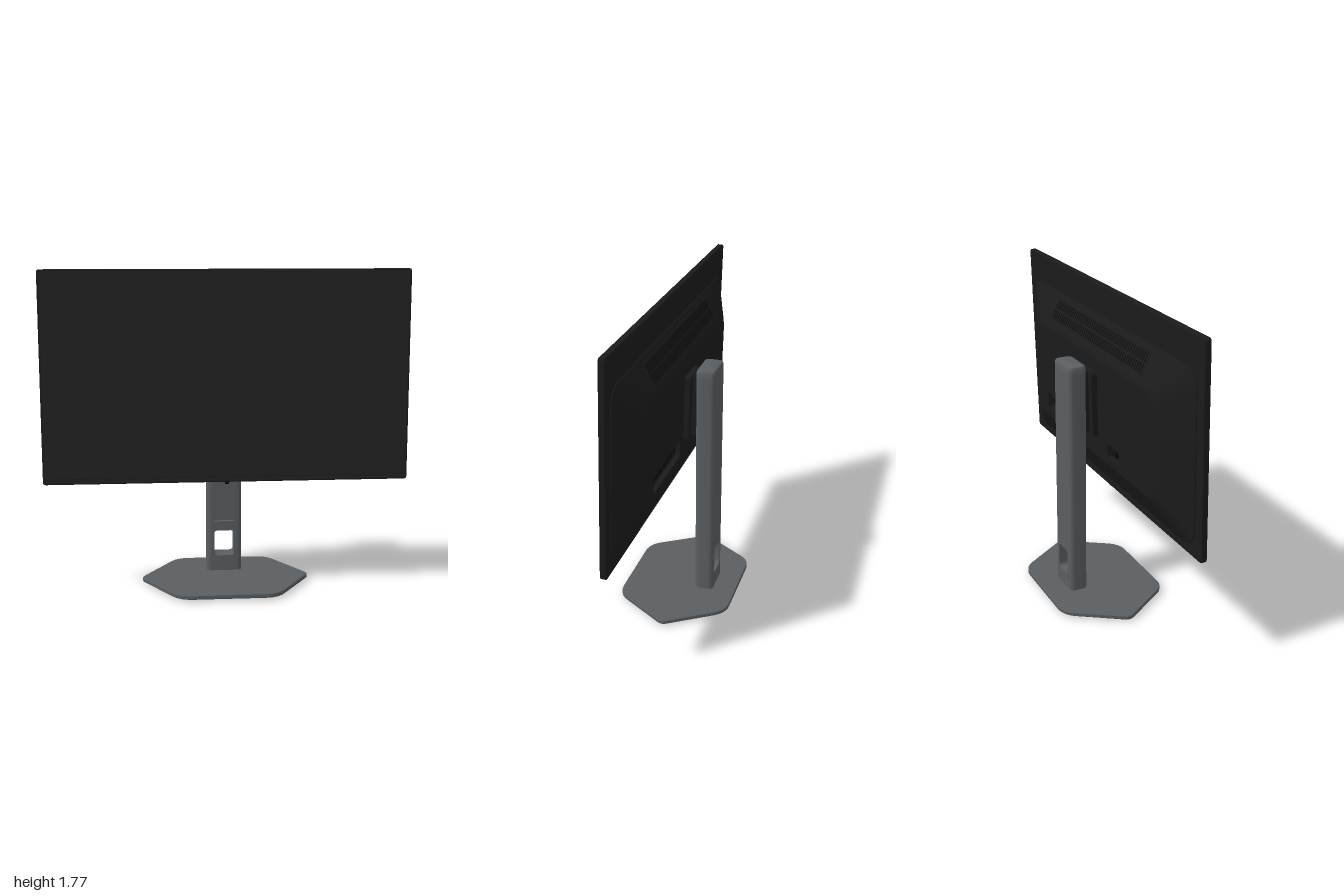
import * as THREE from 'three';
import { toCreasedNormals } from 'three/addons/utils/BufferGeometryUtils.js';

const material = (name, color) => Object.assign(new THREE.MeshStandardMaterial({ color }), { name });

// Closed outline from counter-clockwise [x, y, cornerRadius] points
function outline(points) {
  const shape = new THREE.Shape();
  points.forEach(([x, y, r], i) => {
    const p = new THREE.Vector2(x, y);
    const toward = ([a, b]) => new THREE.Vector2(a, b).sub(p).setLength(r).add(p);
    const n = points.length;
    const a = toward(points[(i + n - 1) % n]);
    const b = toward(points[(i + 1) % n]);
    if (i === 0) shape.moveTo(a.x, a.y); else shape.lineTo(a.x, a.y);
    if (r > 0) shape.quadraticCurveTo(x, y, b.x, b.y);
  });
  return shape;
}

const rect = (x0, x1, y0, y1, r = 0) => outline([[x0, y0, r], [x1, y0, r], [x1, y1, r], [x0, y1, r]]);

// Skin through matching outlines, ordered by rising z
function loft(sections, capBack = true, capFront = true) {
  const rings = sections.map(([shape, z]) => shape.getPoints(6).map(p => [p.x, p.y, z]));
  const n = rings[0].length;
  const pos = [];
  const tri = (...corners) => corners.forEach(c => pos.push(...c));
  for (let k = 0; k < rings.length - 1; k++) {
    const a = rings[k], b = rings[k + 1];
    for (let i = 0; i < n; i++) {
      const j = (i + 1) % n;
      tri(a[i], a[j], b[j]);
      tri(a[i], b[j], b[i]);
    }
  }
  const first = rings[0], last = rings[rings.length - 1];
  for (let i = 1; i < n - 1; i++) {
    if (capBack) tri(first[0], first[i + 1], first[i]);
    if (capFront) tri(last[0], last[i], last[i + 1]);
  }
  const geo = new THREE.BufferGeometry();
  geo.setAttribute('position', new THREE.Float32BufferAttribute(pos, 3));
  return toCreasedNormals(geo, 0.55);
}

const extrude = (shape, depth) => toCreasedNormals(
  new THREE.ExtrudeGeometry(shape, { depth, bevelEnabled: false, curveSegments: 6 }), 0.55);

export function createModel() {
  const model = new THREE.Group();
  const housing = material('black housing', 0x1b1b1b);
  const glass = material('screen glass', 0x222222);
  const metal = material('grey stand', 0x5a5e61);
  const dark = material('dark detail', 0x0d0d0d);

  const add = (parent, name, geo, mat, x = 0, y = 0, z = 0) => {
    const mesh = new THREE.Mesh(geo, mat);
    mesh.name = name;
    mesh.position.set(x, y, z);
    parent.add(mesh);
    return mesh;
  };
  const box = (parent, name, mat, w, h, d, x, y, z) =>
    add(parent, name, new THREE.BoxGeometry(w, h, d), mat, x, y, z);

  // Display head, leaning slightly back
  const head = new THREE.Group();
  head.name = 'displayHead';
  head.position.set(0, 1.195, 0.1);
  head.rotation.x = -0.031;
  model.add(head);

  const panel = inset => rect(-1 + inset, 1 - inset, -0.5775 + inset, 0.5775 - inset, 0.016);
  add(head, 'panelFrame', loft([
    [panel(0.004), -0.0175], [panel(0), -0.0135], [panel(0), 0.0135], [panel(0.004), 0.0175],
  ]), housing);
  add(head, 'screen', extrude(rect(-0.99, 0.99, -0.546, 0.569, 0.006), 0.002), glass, 0, 0, 0.017);
  add(head, 'chin', extrude(rect(-0.99, 0.99, -0.57, -0.55, 0.004), 0.001), glass, 0, 0, 0.017);
  box(head, 'statusLight', dark, 0.012, 0.004, 0.003, 0.91, -0.56, 0.0175);
  box(head, 'bottomNub', dark, 0.022, 0.014, 0.02, 0, -0.582, 0.004);

  // Rear shell: sloped sides rising to a flat plate with pockets
  const mix = THREE.MathUtils.lerp;
  const shellRing = t => rect(-mix(0.94, 0.71, t), mix(0.94, 0.71, t),
    mix(-0.525, -0.345, t), mix(0.41, 0.225, t), mix(0.11, 0.09, t));
  add(head, 'rearShell', loft([
    [shellRing(1), -0.117], [shellRing(0.94), -0.113], [shellRing(0.85), -0.105],
    [shellRing(0), -0.022], [shellRing(0), -0.015],
  ], false, false), housing);

  const plate = shellRing(1);
  plate.holes.push(rect(0.14, 0.59, -0.295, -0.195, 0.01), rect(-0.33, -0.2, -0.305, -0.225, 0.01));
  add(head, 'rearPlate', extrude(plate, 0.03), housing, 0, 0, -0.117);
  box(head, 'portPocketFloor', housing, 0.48, 0.13, 0.01, 0.365, -0.245, -0.083);
  box(head, 'controlPocketFloor', housing, 0.16, 0.11, 0.01, -0.265, -0.265, -0.083);
  for (let i = 0; i < 7; i++) {
    box(head, 'port', dark, 0.042, 0.026, 0.012, 0.185 + i * 0.06, -0.245, -0.093);
  }
  box(head, 'controlButton', dark, 0.04, 0.03, 0.024, -0.265, -0.265, -0.098);

  // Vent grille on the upper slope
  const vent = new THREE.Group();
  vent.name = 'vent';
  vent.position.set(0, 0.328, -0.0655);
  vent.rotation.x = Math.atan2(0.083, 0.157);
  head.add(vent);
  box(vent, 'ventPanel', housing, 1.09, 0.13, 0.006, 0, 0, 0);
  for (let row = 0; row < 2; row++) {
    for (let i = 0; i < 48; i++) {
      box(vent, 'ventSlot', dark, 0.01, 0.05, 0.002, (i - 23.5) * 0.0224, row * 0.06 - 0.03, -0.003);
    }
  }

  // Mount between head and column
  const mountPlate = add(head, 'mountPlate', extrude(rect(-0.09, 0.09, -0.185, 0.185, 0.012), 0.035), housing);
  mountPlate.position.set(0, -0.035, -0.149);
  box(model, 'mountArm', housing, 0.1, 0.345, 0.07, 0, 1.162, -0.078);

  // Column, stacked from horizontal sections (section -y is the front)
  const column = new THREE.Group();
  column.name = 'column';
  column.position.z = -0.135;
  model.add(column);
  const W = 0.1, D = 0.053, R = 0.028;
  const full = (inset = 0) => rect(-W + inset, W - inset, -D + inset, D - inset, R);
  const stack = (name, shape, y0, y1) =>
    add(column, name, extrude(shape, y1 - y0).rotateX(-Math.PI / 2), metal, 0, y0, 0);

  stack('columnFoot', full(), 0.03, 0.11);
  for (const side of [-1, 1]) {
    const post = [[0.066, -D, 0], [W, -D, R], [W, D, R], [0.066, D, 0]];
    const points = side > 0 ? post : post.map(([x, y, r]) => [-x, y, r]).reverse();
    stack('columnPost', outline(points), 0.11, 0.29);
  }
  stack('columnBridge', full(), 0.29, 0.33);
  stack('columnRail', outline([
    [-W, -D, R], [-0.056, -D, 0], [-0.056, -D + 0.02, 0], [0.056, -D + 0.02, 0],
    [0.056, -D, 0], [W, -D, R], [W, D, R], [-W, D, R],
  ]), 0.33, 1.34);
  add(column, 'columnTop', loft([
    [full(), 0], [full(), 0.035], [full(0.005), 0.046], [full(0.014), 0.05],
  ]).rotateX(-Math.PI / 2), metal, 0, 1.34, 0);

  // Cable opening with rounded corners
  const liner = rect(-0.07, 0.07, 0.106, 0.294);
  liner.holes.push(rect(-0.057, 0.057, 0.125, 0.275, 0.02));
  add(column, 'cableOpening', extrude(liner, 2 * D + 0.001), metal, 0, 0, -D - 0.0005);

  // Six-sided base and its feet
  const hexagon = s => outline([
    [-0.27, -0.318, 0.07], [0.27, -0.318, 0.07], [0.478, 0, 0.03],
    [0.27, 0.318, 0.07], [-0.27, 0.318, 0.07], [-0.478, 0, 0.03],
  ].map(([x, y, r]) => [x * s, y * s, r]));
  add(model, 'base', loft([
    [hexagon(0.99), 0], [hexagon(1), 0.004], [hexagon(1), 0.021], [hexagon(0.99), 0.025],
  ]).rotateX(-Math.PI / 2), metal, 0, 0.01, 0);
  for (const [x, z] of [[0.39, 0], [-0.39, 0], [0.22, 0.25], [-0.22, 0.25], [0.22, -0.25], [-0.22, -0.25]]) {
    box(model, 'foot', dark, 0.05, 0.012, 0.03, x, 0.006, z);
  }
  return model;
}
